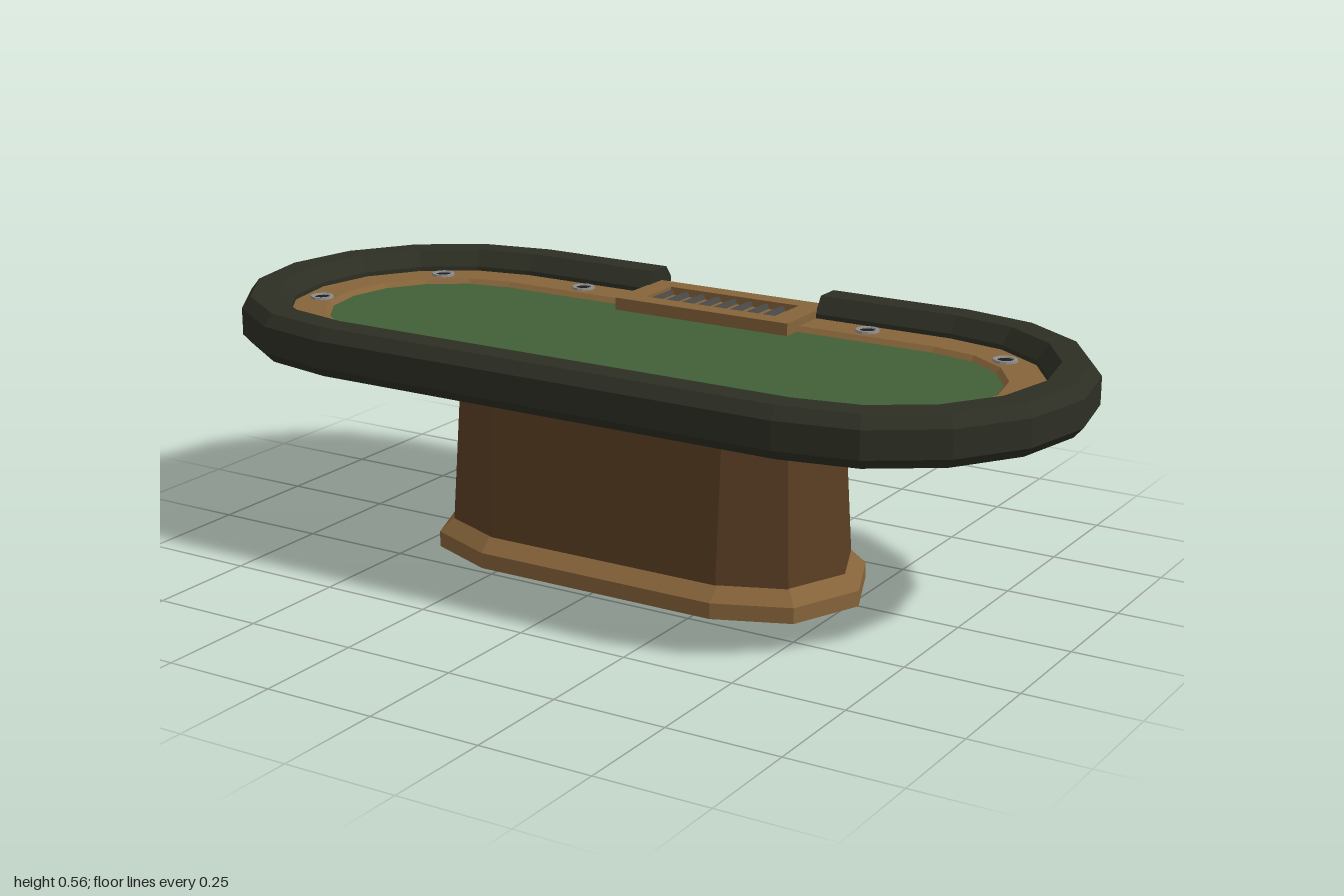
import * as THREE from 'three';

const mat = (name, color, extra = {}) => {
  const m = new THREE.MeshStandardMaterial({ color, flatShading: true, ...extra });
  m.name = name;
  return m;
};

// Stations around a stadium outline: centre x plus outward direction
function stadium(cx, segs) {
  const out = [];
  for (const side of [1, -1]) {
    for (let i = 0; i <= segs; i++) {
      const t = Math.PI * (i / segs - 0.5);
      out.push([side * cx, side * Math.cos(t), side * Math.sin(t)]);
    }
  }
  return out;
}

// Sweep a profile of [radius, y] along the stations; closed loop, or open with end caps
function sweep(stations, profile, closed = true) {
  const pos = [];
  const at = (s, p) => [s[0] + s[1] * p[0], p[1], s[2] * p[0]];
  const tri = (a, b, c) => pos.push(...a, ...b, ...c);
  const n = stations.length, m = profile.length;
  for (let i = 0; i < (closed ? n : n - 1); i++) {
    const s = stations[i], e = stations[(i + 1) % n];
    for (let j = 0; j < (closed ? m - 1 : m); j++) {
      const p = profile[j], q = profile[(j + 1) % m];
      tri(at(s, p), at(s, q), at(e, q));
      tri(at(s, p), at(e, q), at(e, p));
    }
  }
  if (!closed) {
    const s = stations[0], e = stations[n - 1];
    for (let j = 1; j < m - 1; j++) {
      tri(at(s, profile[0]), at(s, profile[j + 1]), at(s, profile[j]));
      tri(at(e, profile[0]), at(e, profile[j]), at(e, profile[j + 1]));
    }
  }
  const g = new THREE.BufferGeometry();
  g.setAttribute('position', new THREE.Float32BufferAttribute(pos, 3));
  g.computeVertexNormals();
  return g;
}

export function createModel() {
  const group = new THREE.Group();
  group.name = 'cardTable';
  const leather = mat('dark leather', 0x2d2f24);
  const felt = mat('green felt', 0x426038);
  const oak = mat('light wood', 0x86643a);
  const walnut = mat('dark wood', 0x5a3e23);
  const steel = mat('steel', 0x8c8c8c);
  const black = mat('cup inside', 0x1c1c1c);
  const trayGrey = mat('tray grey', 0x484846);
  const add = (name, geo, material, parent = group) => {
    const mesh = new THREE.Mesh(geo, material);
    mesh.name = name;
    parent.add(mesh);
    return mesh;
  };

  // Pedestal
  add('plinth', sweep(stadium(0.29, 4),
    [[0, 0], [0.23, 0], [0.23, 0.035], [0.197, 0.066], [0, 0.066]]), oak);
  add('column', sweep(stadium(0.286, 4), [[0.2, 0.064], [0.175, 0.448]]), walnut);

  // Table top layers
  const oval = stadium(0.55, 8);
  add('underside', sweep(oval, [[0, 0.447], [0.41, 0.447], [0.41, 0.46]]), walnut);
  add('woodBorder', sweep(oval, [[0.36, 0.51], [0.266, 0.51], [0.256, 0.499]]), oak);
  add('playingSurface', sweep(oval, [[0.257, 0.499], [0, 0.499]]), felt);

  // Padded rail, open at the dealer's place
  const railPath = [[0.22, 0, -1], ...oval, [-0.22, 0, -1]];
  add('paddedRail', sweep(railPath, [[0.345, 0.448], [0.43, 0.448], [0.45, 0.47],
    [0.45, 0.53], [0.43, 0.556], [0.37, 0.556], [0.345, 0.52]], false), leather);

  // Dealer's tray frame with an open window
  const rect = (S, x, z0, z1) => {
    const s = new S();
    s.moveTo(-x, -z1);
    s.lineTo(x, -z1);
    s.lineTo(x, -z0);
    s.lineTo(-x, -z0);
    s.closePath();
    return s;
  };
  const frame = rect(THREE.Shape, 0.222, -0.41, -0.212);
  frame.holes.push(rect(THREE.Path, 0.167, -0.365, -0.257));
  const frameGeo = new THREE.ExtrudeGeometry(frame, { depth: 0.078, bevelEnabled: false });
  frameGeo.rotateX(-Math.PI / 2).translate(0, 0.449, 0);
  add('trayFrame', frameGeo, oak);

  // Chip tray with eight rounded channels
  const count = 8, pitch = 0.334 / count;
  const comb = new THREE.Shape();
  comb.moveTo(-0.167, 0);
  comb.lineTo(0.167, 0);
  comb.lineTo(0.167, 0.02);
  for (let i = count - 1; i >= 0; i--) {
    const c = -0.167 + (i + 0.5) * pitch;
    for (let k = 0; k <= 4; k++) {
      const t = Math.PI * k / 4;
      comb.lineTo(c + 0.017 * Math.cos(t), 0.02 - 0.015 * Math.sin(t));
    }
  }
  comb.lineTo(-0.167, 0.02);
  comb.closePath();
  const trayGeo = new THREE.ExtrudeGeometry(comb, { depth: 0.108, bevelEnabled: false });
  trayGeo.translate(0, 0.5, -0.365);
  add('chipTray', trayGeo, trayGrey);

  // Cup holders, mirrored left and right
  const ringGeo = new THREE.LatheGeometry([[0.027, 0], [0.026, 0.005], [0.019, 0.005], [0.017, 0.001]]
    .map(([r, y]) => new THREE.Vector2(r, y)), 12);
  const discGeo = new THREE.CircleGeometry(0.018, 12).rotateX(-Math.PI / 2).translate(0, 0.002, 0);
  const cups = [[0.37, -0.305], [0.725, -0.24], [0.83, 0.085], [0.553, 0.297], [0.183, 0.3]];
  for (const side of [1, -1]) {
    for (const [x, z] of cups) {
      const cup = new THREE.Group();
      cup.name = 'cupHolder';
      cup.position.set(side * x, 0.51, z);
      add('cupRim', ringGeo, steel, cup);
      add('cupInside', discGeo, black, cup);
      group.add(cup);
    }
  }
  return group;
}
